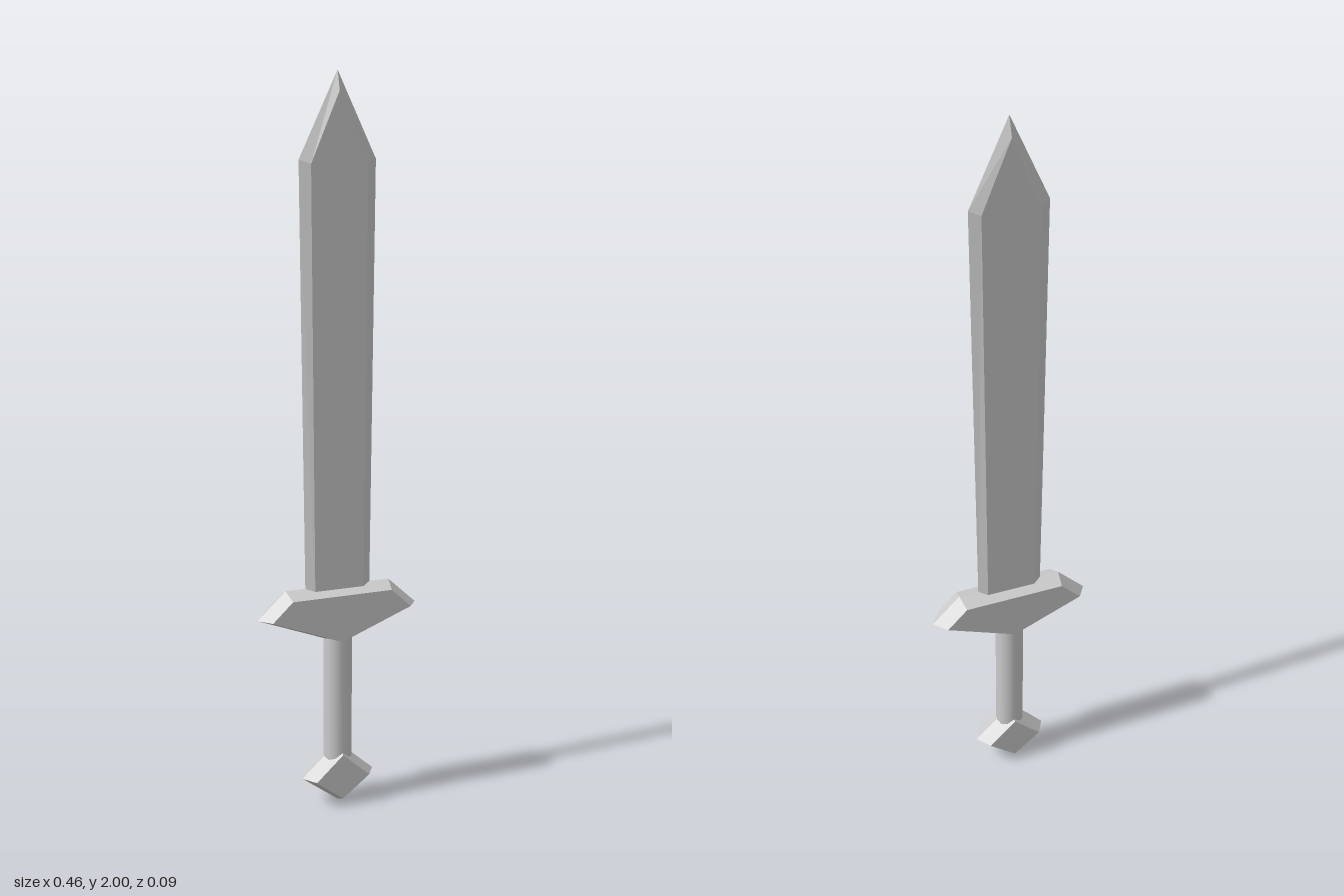
import * as THREE from 'three';

const material = new THREE.MeshStandardMaterial({ color: 0xcccccc, flatShading: true });
const gripMaterial = new THREE.MeshStandardMaterial({ color: 0xcccccc });

// Right half of an outline, bottom to top, completed by its mirror image
function mirrorOutline(half) {
  const left = half.filter(([x]) => x > 0).map(([x, y]) => [-x, y]).reverse();
  return [...half, ...left];
}

// Convex plate: wide outline at z = 0, smaller flat faces at z = +depth and -depth
function bevelledPlate(name, midHalf, faceHalf, depth) {
  const mid = mirrorOutline(midHalf);
  const face = mirrorOutline(faceHalf);
  const n = mid.length;
  const positions = [];
  for (const side of [1, -1]) {
    const m = mid.map(([x, y]) => [x, y, 0]);
    const f = face.map(([x, y]) => [x, y, side * depth]);
    const tri = (a, b, c) => positions.push(...a, ...(side > 0 ? b : c), ...(side > 0 ? c : b));
    for (let i = 0; i < n; i++) {
      const j = (i + 1) % n;
      tri(m[i], m[j], f[j]);
      tri(m[i], f[j], f[i]);
      if (i > 0 && i < n - 1) tri(f[0], f[i], f[j]);
    }
  }
  const geometry = new THREE.BufferGeometry();
  geometry.setAttribute('position', new THREE.Float32BufferAttribute(positions, 3));
  geometry.computeVertexNormals();
  const mesh = new THREE.Mesh(geometry, material);
  mesh.name = name;
  return mesh;
}

export function createModel() {
  const group = new THREE.Group();
  group.name = 'sword';

  // Blade, widening slightly towards the shoulders of the point
  group.add(bevelledPlate('blade',
    [[0.093, 0.6], [0.105, 1.78], [0, 2]],
    [[0.07, 0.6], [0.077, 1.77], [0, 1.95]], 0.016));

  // Crossguard
  group.add(bevelledPlate('crossguard',
    [[0, 0.475], [0.23, 0.565], [0.15, 0.64]],
    [[0, 0.49], [0.2, 0.568], [0.143, 0.622]], 0.043));

  // Round grip
  const grip = new THREE.Mesh(new THREE.CylinderGeometry(0.04, 0.04, 0.42, 12), gripMaterial);
  grip.name = 'grip';
  grip.position.y = 0.31;
  group.add(grip);

  // Diamond pommel
  group.add(bevelledPlate('pommel',
    [[0, 0], [0.105, 0.08], [0, 0.175]],
    [[0, 0.023], [0.078, 0.083], [0, 0.155]], 0.046));

  return group;
}
